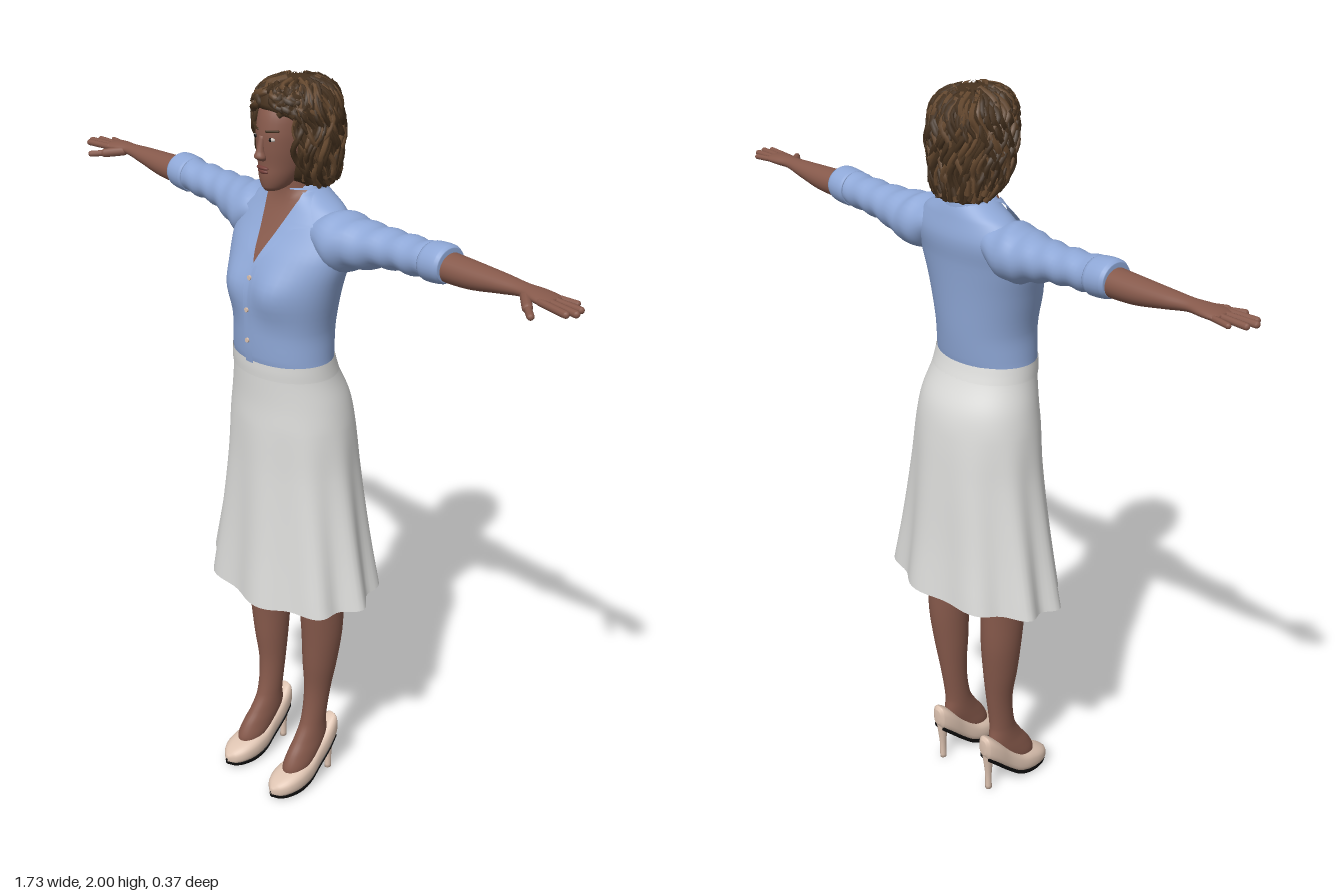
import * as THREE from 'three';
import { mergeGeometries } from 'three/addons/utils/BufferGeometryUtils.js';

const mat = (name, color, side = THREE.FrontSide) => {
  const m = new THREE.MeshStandardMaterial({ color, side });
  m.name = name;
  return m;
};

// Smoothly interpolate stations [t, u, v, halfU, halfV] at position t
function sample(st, t) {
  let i = 0;
  while (i < st.length - 2 && t > st[i + 1][0]) i++;
  const p = st[i], q = st[i + 1], o = st[Math.max(i - 1, 0)], r = st[Math.min(i + 2, st.length - 1)];
  const h = q[0] - p[0], k = THREE.MathUtils.clamp((t - p[0]) / h, 0, 1), k2 = k * k, k3 = k2 * k;
  return [1, 2, 3, 4].map(c => {
    const m0 = (q[c] - o[c]) / (q[0] - o[0]) * h, m1 = (r[c] - p[c]) / (r[0] - p[0]) * h;
    return (2 * k3 - 3 * k2 + 1) * p[c] + (k3 - 2 * k2 + k) * m0 + (3 * k2 - 2 * k3) * q[c] + (k3 - k2) * m1;
  });
}

// Skin rounded cross-sections along an axis; side = -1 mirrors in x
function loft(st, { axis = 'y', seg = 28, sub = 5, side = 1, caps = true, pow = 1, warp } = {}) {
  const pos = [], idx = [], rows = (st.length - 1) * sub + 1;
  const put = (t, u, v) => {
    const p = axis === 'y' ? [u, t, v] : axis === 'x' ? [t, u, v] : [u, v, t];
    const w = new THREE.Vector3(...p);
    return w;
  };
  const round = c => Math.sign(c) * Math.abs(c) ** pow;
  for (let i = 0; i < rows; i++) {
    const s = Math.min(Math.floor(i / sub), st.length - 2);
    const t = THREE.MathUtils.lerp(st[s][0], st[s + 1][0], i / sub - s);
    const [u, v, a, b] = sample(st, t);
    for (let j = 0; j < seg; j++) {
      const th = j / seg * Math.PI * 2;
      const p = put(t, u + Math.max(a, .001) * round(Math.cos(th)), v + Math.max(b, .001) * round(Math.sin(th)));
      if (warp) warp(p, th);
      pos.push(p.x * side, p.y, p.z);
    }
  }
  const flip = (axis === 'y') !== (side < 0);
  const tri = (a, b, c) => flip ? idx.push(a, c, b) : idx.push(a, b, c);
  for (let i = 0; i < rows - 1; i++) for (let j = 0; j < seg; j++) {
    const a = i * seg + j, b = i * seg + (j + 1) % seg;
    tri(a, b, b + seg);
    tri(a, b + seg, a + seg);
  }
  if (caps) for (const [s, row] of [[st[0], 0], [st[st.length - 1], rows - 1]]) {
    const c = put(s[0], s[1], s[2]), n = pos.length / 3;
    pos.push(c.x * side, c.y, c.z);
    for (let j = 0; j < seg; j++) {
      const a = row * seg + j, b = row * seg + (j + 1) % seg;
      row ? tri(a, b, n) : tri(b, a, n);
    }
  }
  return finish(pos, idx);
}

function finish(pos, idx) {
  const g = new THREE.BufferGeometry();
  g.setAttribute('position', new THREE.Float32BufferAttribute(pos, 3));
  g.setIndex(idx);
  g.computeVertexNormals();
  return g;
}

// Rounded rod between two points
function rod(a, b, r) {
  const A = new THREE.Vector3(...a), B = new THREE.Vector3(...b), d = B.clone().sub(A);
  const g = new THREE.CapsuleGeometry(r, d.length(), 4, 10);
  g.applyQuaternion(new THREE.Quaternion().setFromUnitVectors(new THREE.Vector3(0, 1, 0), d.normalize()));
  return g.translate(...A.add(B).multiplyScalar(.5).toArray());
}

const ball = (x, y, z, rx, ry, rz) => new THREE.SphereGeometry(1, 16, 10).scale(rx, ry, rz).translate(x, y, z);

const TORSO = [[1.3, 0, .033, .146, .107], [1.33, 0, .033, .143, .112], [1.4, 0, .03, .141, .116], [1.5, 0, .024, .162, .116],
  [1.58, 0, .008, .182, .106], [1.64, 0, -.015, .182, .09], [1.69, 0, -.025, .14, .07], [1.715, 0, -.026, .095, .062], [1.735, 0, -.022, .062, .056]];
const bust = (x, y) => .022 * Math.exp(-(((Math.abs(x) - .07) / .055) ** 2) - ((y - 1.5) / .06) ** 2);
function torsoFront(x, y) {
  const [, cz, a, b] = sample(TORSO, y);
  return cz + b * Math.sqrt(Math.max(0, 1 - (x / a) ** 2)) + bust(x, y);
}

// Thin sheet lying on the front of the torso between two edges
function patch(y0, y1, left, right, off, n = 12, m = 8) {
  const pos = [], idx = [];
  for (let i = 0; i <= n; i++) for (let j = 0; j <= m; j++) {
    const y = y0 + (y1 - y0) * i / n, x = THREE.MathUtils.lerp(left(y), right(y), j / m);
    pos.push(x, y, torsoFront(x, y) + off);
    if (i < n && j < m) {
      const a = i * (m + 1) + j, c = a + m + 1;
      idx.push(a, a + 1, c + 1, a, c + 1, c);
    }
  }
  return finish(pos, idx);
}

const HAIR = [[1.735, 0, -.05, .07, .055], [1.77, 0, -.032, .092, .08], [1.83, 0, -.02, .101, .098], [1.9, 0, -.016, .102, .104],
  [1.95, 0, -.012, .088, .097], [1.98, 0, -.012, .06, .068], [1.994, 0, -.012, .012, .014]];

export function createModel() {
  const skin = mat('skin', 0x86594b), shirt = mat('shirt blue', 0x8ea7d6, THREE.DoubleSide);
  const white = mat('skirt white', 0xdcdcda, THREE.DoubleSide), hair = mat('dark brown hair', 0x46321f);
  const light = mat('light brown hair', 0x66492f), shoe = mat('shoe beige', 0xdcc2b0), black = mat('sole black', 0x0c0b0b);
  const lip = mat('lip', 0x74403a), eye = mat('eye white', 0xc9beb6);
  const model = new THREE.Group();
  const add = (name, geo, material, parent = model) => {
    const m = new THREE.Mesh(geo, material);
    m.name = name;
    parent.add(m);
    return m;
  };

  // Shirt body, open neck, placket and buttons
  add('shirtBody', loft(TORSO, { seg: 48, warp: p => { if (p.z > 0) p.z += bust(p.x, p.y) * Math.min(1, p.z / .06); } }), shirt);
  const vee = y => .058 * THREE.MathUtils.clamp((y - 1.555) / .16, 0, 1);
  add('openNeck', patch(1.555, 1.733, y => -vee(y), vee, .004, 16), skin);
  add('placket', patch(1.31, 1.56, () => -.013, () => .013, .004), shirt);
  for (const y of [1.37, 1.45, 1.53])
    add('button', new THREE.CylinderGeometry(.006, .006, .005, 12).rotateX(Math.PI / 2).translate(0, y, torsoFront(0, y) + .006), shoe);
  add('collarBand', loft([[1.69, 0, -.024, .085, .067], [1.72, 0, -.027, .073, .06], [1.745, 0, -.03, .062, .053]],
    { caps: false, warp: p => { if (p.z > 0) p.y -= p.z * .9; } }), shirt);
  const lapel = y => y < 1.655 ? vee(y) + .008 + (y - 1.555) * .3 : y < 1.665 ? .075 + (y - 1.655) * 4.5 : .12 - (y - 1.665) * .75;
  for (const s of [1, -1])
    add('collar', patch(1.555, 1.73, y => s > 0 ? vee(y) : -lapel(y), y => s > 0 ? lapel(y) : -vee(y), .011, 35), shirt);

  // Flared skirt with folds that deepen towards the hem
  const fold = (p, th) => {
    const k = THREE.MathUtils.clamp((1.15 - p.y) / .5, 0, 1);
    const f = 1 + .055 * k * Math.cos(9 * th + .6 * Math.sin(2 * th)) - .01 * k;
    p.x *= f;
    p.z *= f;
    p.y += k * k * (.012 - p.z * .09);
  };
  add('skirt', loft([[.635, 0, 0, .262, .178], [.8, 0, 0, .23, .163], [1, 0, 0, .195, .15], [1.13, 0, .003, .18, .142],
    [1.2, 0, .008, .168, .133], [1.27, 0, .024, .151, .117], [1.315, 0, .033, .145, .109]], { seg: 90, caps: false, warp: fold }), white);
  add('waistband', loft([[1.275, 0, .026, .152, .117], [1.295, 0, .03, .15, .114], [1.315, 0, .033, .148, .111]], { caps: false, seg: 48 }), white);

  // Arms, sleeves, legs and shoes on both sides
  for (const side of [1, -1]) {
    const limb = new THREE.Group();
    limb.name = side > 0 ? 'leftLimbs' : 'rightLimbs';
    model.add(limb);
    const crease = p => { p.y += .003 * Math.sin(p.x * 95 + p.z * 30); };
    add('sleeve', loft([[.09, 1.645, -.02, .045, .065], [.16, 1.628, -.02, .07, .08], [.21, 1.63, -.025, .061, .07], [.3, 1.642, -.033, .046, .053],
      [.4, 1.648, -.033, .043, .048], [.475, 1.652, -.034, .041, .045]], { axis: 'x', side, sub: 8, warp: crease }), shirt, limb);
    add('cuff', loft([[.425, 1.65, -.034, .044, .048], [.435, 1.65, -.034, .047, .051], [.475, 1.653, -.034, .046, .05], [.487, 1.653, -.034, .04, .044]],
      { axis: 'x', side }), shirt, limb);
    add('forearmAndPalm', loft([[.45, 1.648, -.035, .036, .04], [.55, 1.648, -.036, .032, .036], [.64, 1.654, -.036, .022, .028], [.7, 1.658, -.034, .015, .022],
      [.74, 1.658, -.032, .014, .03], [.775, 1.657, -.03, .011, .033], [.787, 1.657, -.03, .006, .028]], { axis: 'x', side }), skin, limb);
    const fingers = [[.765, -.006, .842, .004, .0085], [.77, -.022, .855, -.014, .0085], [.77, -.038, .848, -.038, .008], [.76, -.053, .82, -.062, .007]];
    const hand = fingers.map(([x0, z0, x1, z1, r]) => rod([x0 * side, 1.657, z0], [x1 * side, 1.655, z1], r));
    hand.push(rod([.715 * side, 1.653, -.018], [.752 * side, 1.647, .018], .012), rod([.752 * side, 1.647, .018], [.782 * side, 1.643, .043], .0085));
    add('fingers', mergeGeometries(hand), skin, limb);

    add('leg', loft([[.055, .097, .08, .028, .04], [.08, .097, .067, .034, .052], [.115, .096, .042, .033, .06], [.15, .094, .02, .031, .056],
      [.2, .093, .008, .03, .04], [.3, .095, -.005, .034, .04], [.4, .101, -.008, .045, .051], [.5, .106, -.01, .052, .06],
      [.62, .107, -.005, .054, .068], [.8, .104, 0, .066, .08], [1.05, .092, 0, .085, .095]], { side }), skin, limb);
    // Each shoe station: z, bottom, top, half width
    const last = [[-.07, .13, .175, .012], [-.06, .112, .186, .024], [-.03, .085, .165, .033], [.01, .048, .125, .036],
      [.05, .018, .092, .043], [.09, .008, .078, .047], [.13, .008, .064, .042], [.157, .01, .05, .027], [.172, .016, .036, .006]];
    add('shoe', loft(last.map(([z, b, t, w]) => [z, .097, (b + t) / 2, w, (t - b) / 2]), { axis: 'z', side, pow: .75 }), shoe, limb);
    add('sole', loft(last.slice(1).map(([z, b, , w]) => [z, .097, b + .002, w * .86, .009]), { axis: 'z', side, pow: .6 }), black, limb);
    add('heel', loft([[0, .097, -.047, .009, .01], [.05, .097, -.048, .009, .01], [.1, .097, -.048, .014, .016], [.14, .097, -.042, .024, .026]], { side, seg: 16 }), shoe, limb);
  }

  // Neck, head and face
  add('neck', loft([[1.62, 0, -.02, .06, .05], [1.7, 0, -.015, .05, .05], [1.8, 0, -.01, .046, .048]]), skin);
  add('head', loft([[1.735, 0, .062, .016, .024], [1.745, 0, .055, .03, .038], [1.77, 0, .042, .044, .056], [1.8, 0, .028, .054, .07],
    [1.84, 0, .018, .062, .083], [1.88, 0, .01, .066, .09], [1.93, 0, 0, .064, .086], [1.97, 0, -.01, .045, .06], [1.985, 0, -.01, .015, .02]], { seg: 36 }), skin);
  add('nose', loft([[1.812, 0, .1, .012, .008], [1.821, 0, .104, .015, .015], [1.835, 0, .103, .01, .011], [1.87, 0, .098, .007, .006]], { seg: 16 }), skin);
  add('upperLip', ball(0, 1.793, .097, .02, .005, .007), lip);
  add('lowerLip', ball(0, 1.784, .095, .017, .006, .007), lip);
  for (const s of [1, -1]) {
    add('eye', ball(s * .026, 1.864, .091, .011, .005, .006), eye);
    add('iris', ball(s * .026, 1.864, .095, .0045, .0045, .0035), black);
    add('eyebrow', rod([s * .014, 1.882, .097], [s * .04, 1.884, .083], .003), hair);
  }

  // Hair mass, held back from the face, then wavy locks over it
  add('hairMass', loft(HAIR, { seg: 48, warp: (p, th) => {
    const r = 1 + .025 * Math.sin(13 * th + p.y * 40) * Math.sin(p.y * 55 + 3 * th);
    p.x *= r;
    p.z = Math.min(p.z * r, THREE.MathUtils.lerp(.04, .12, THREE.MathUtils.smoothstep(p.y, 1.9, 1.945)));
  } }), hair);
  let seed = 7;
  const rnd = () => (seed = (seed * 16807) % 2147483647) / 2147483647;
  const locks = [[], []];
  for (let n = 0; n < 130; n++) {
    const start = n / 130 * Math.PI * 2, front = Math.sin(start) > .72, phase = rnd() * 6.28;
    const yEnd = front ? 1.915 + rnd() * .02 : 1.735 + rnd() * .045, yTop = 1.975 + rnd() * .015, pts = [];
    for (let k = 0; k <= 9; k++) {
      const y = THREE.MathUtils.lerp(yTop, yEnd, (k / 9) ** 1.2);
      const th = start + .13 * Math.sin(k * 1.3 + phase) + (front ? -.05 * k * Math.sign(Math.cos(start)) : 0);
      const [cx, cz, a, b] = sample(HAIR, y), f = 1.0 + .05 * Math.sin(k * 1.7 + phase * 2);
      pts.push(new THREE.Vector3(cx + a * f * Math.cos(th), y, cz + b * f * Math.sin(th)));
    }
    locks[n % 3 ? 0 : 1].push(new THREE.TubeGeometry(new THREE.CatmullRomCurve3(pts), 18, .005 + rnd() * .004, 5));
  }
  add('darkLocks', mergeGeometries(locks[0]), hair);
  add('lightLocks', mergeGeometries(locks[1]), light);
  return model;
}
